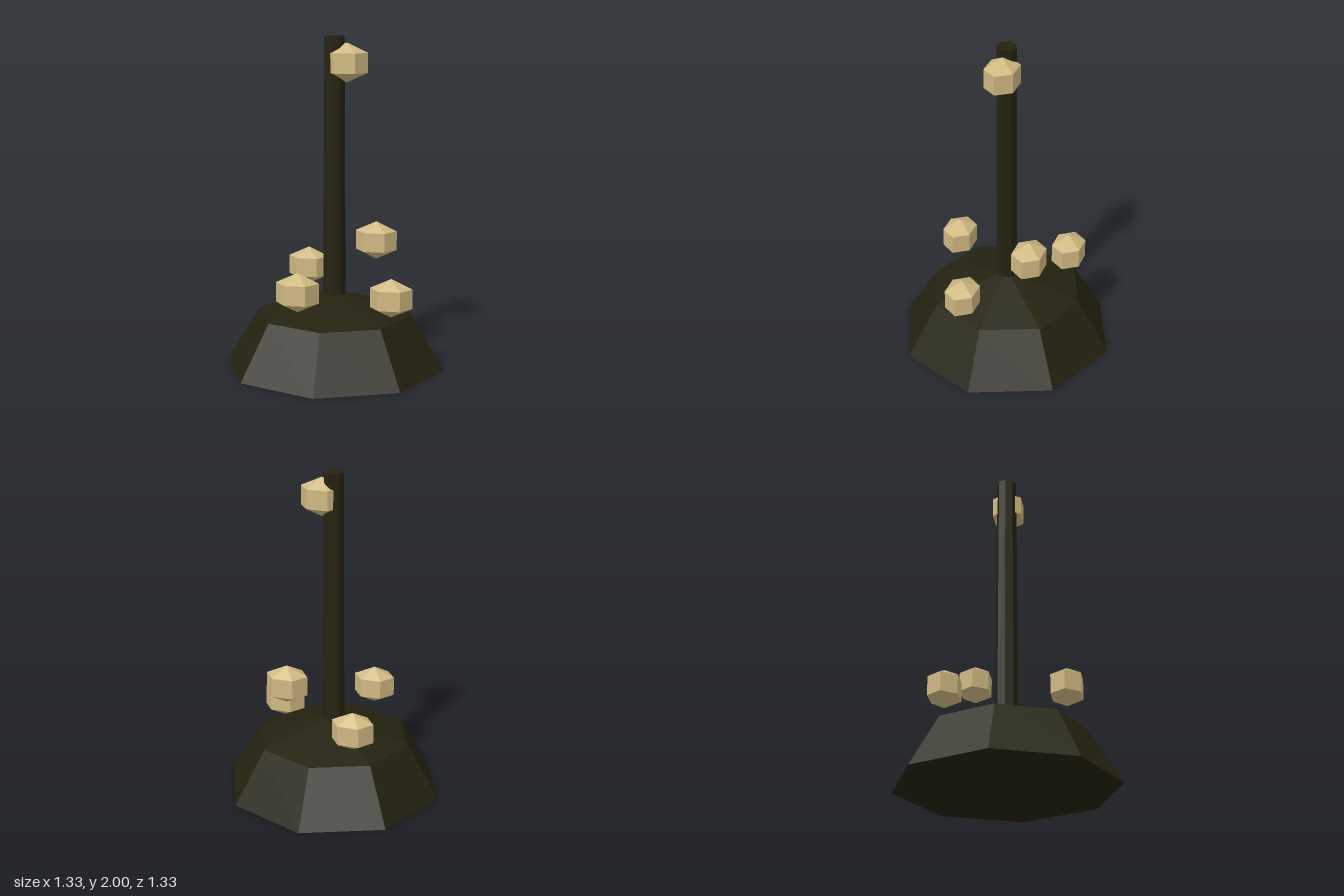
import * as THREE from 'three';

export function createModel() {
  const group = new THREE.Group();
  const dark = new THREE.MeshStandardMaterial({ color: 0x24220f, flatShading: true });
  dark.name = 'dark olive';
  const tan = new THREE.MeshStandardMaterial({ color: 0xd0b982, flatShading: true });
  tan.name = 'pale tan';

  const add = (name, geometry, material, x = 0, y = 0, z = 0) => {
    const mesh = new THREE.Mesh(geometry, material);
    mesh.name = name;
    mesh.position.set(x, y, z);
    group.add(mesh);
    return mesh;
  };

  // Low faceted mound with a closed underside
  const mound = new THREE.SphereGeometry(0.667, 8, 2, 0, Math.PI * 2, 0, Math.PI / 2);
  mound.scale(1, 0.7, 1);
  add('mound', mound, dark);
  add('moundUnderside', new THREE.CircleGeometry(0.667, 8).rotateX(Math.PI / 2), dark);

  // Slightly tapered eight-sided pole
  add('pole', new THREE.CylinderGeometry(0.06, 0.069, 1.67, 8), dark, 0, 1.165, 0);

  // Flattened faceted lumps: one on the pole, four over the mound
  const lump = new THREE.SphereGeometry(0.147, 6, 3);
  lump.scale(1, 0.8, 0.8);
  [
    [0.073, 1.845, 0],
    [0.22, 0.737, -0.222],
    [0.368, 0.47, 0.147],
    [-0.15, 0.537, 0.37],
    [-0.222, 0.537, -0.328],
  ].forEach(([x, y, z], i) => add(i ? `moundLump${i}` : 'poleLump', lump, tan, x, y, z));

  return group;
}
